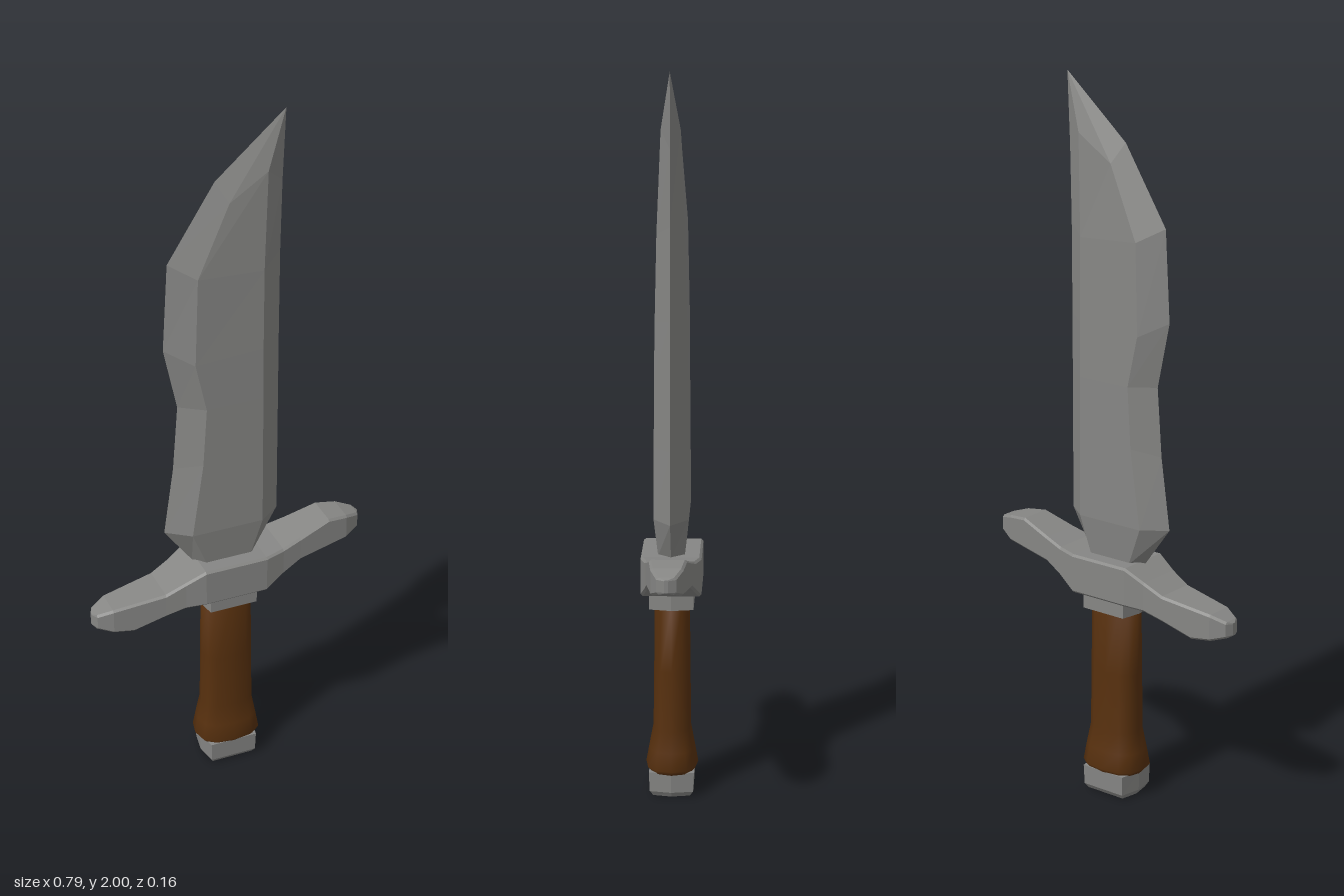
import * as THREE from 'three';

const steel = new THREE.MeshStandardMaterial({ color: 0x868684 });
steel.name = 'steel';
const wood = new THREE.MeshStandardMaterial({ color: 0x57300e });
wood.name = 'brown grip';

// Skins a stack of closed rings (counter-clockwise seen from the far end) and caps both ends.
function loft(rings, smooth = false) {
  const n = rings[0].length;
  const pts = rings.flat().map((p) => new THREE.Vector3(...p));
  const index = [];
  const tri = (a, b, c) => {
    if (new THREE.Triangle(pts[a], pts[b], pts[c]).getArea() > 1e-7) index.push(a, b, c);
  };
  for (let i = 0; i < rings.length - 1; i++) {
    for (let j = 0; j < n; j++) {
      const a = i * n + j, b = i * n + ((j + 1) % n);
      tri(a, b, b + n);
      tri(a, b + n, a + n);
    }
  }
  const last = (rings.length - 1) * n;
  for (let j = 1; j < n - 1; j++) {
    tri(0, j + 1, j);
    tri(last, last + j, last + j + 1);
  }
  let geo = new THREE.BufferGeometry().setFromPoints(pts);
  geo.setIndex(index);
  if (!smooth) geo = geo.toNonIndexed();
  geo.computeVertexNormals();
  return geo;
}

// Flattened hexagon with pointed sides
const hexRing = (y, x, z) => [
  [x, y, 0], [x * 0.86, y, -z], [-x * 0.86, y, -z],
  [-x, y, 0], [-x * 0.86, y, z], [x * 0.86, y, z],
];

// Rounded grip section
function gripRing(y, x, z) {
  const ring = [];
  for (let i = 0; i < 12; i++) {
    const a = (i / 12) * Math.PI * 2, c = Math.cos(a), s = Math.sin(a);
    const round = (v) => Math.sign(v) * Math.pow(Math.abs(v), 0.75);
    ring.push([x * round(c), y, -z * round(s)]);
  }
  return ring;
}

// Blade section: cutting edge, two ridges and spine, each [x, y], with half thickness
const bladeRing = ([edge, ridgeA, ridgeB, spine, z]) => [
  [...spine, 0], [...ridgeB, -z], [...ridgeA, -z],
  [...edge, 0], [...ridgeA, z], [...ridgeB, z],
];

// Guard section at x with chamfered corners
function guardRing([x, low, high, z]) {
  const c = Math.min(0.006, z * 0.4);
  return [
    [x, high, -z + c], [x, high, z - c], [x, high - c, z], [x, low + c, z],
    [x, low, z - c], [x, low, -z + c], [x, low + c, -z], [x, high - c, -z],
  ];
}

export function createModel() {
  const group = new THREE.Group();
  const add = (name, geo, mat) => {
    const mesh = new THREE.Mesh(geo, mat);
    mesh.name = name;
    group.add(mesh);
  };

  // Blade with recurved edge and slanted point
  const tip = [0.165, 2.0];
  add('blade', loft([
    [[-0.10, 0.69], [-0.07, 0.69], [0.06, 0.69], [0.09, 0.69], 0.036],
    [[-0.18, 0.80], [-0.115, 0.80], [0.09, 0.80], [0.152, 0.80], 0.047],
    [[-0.152, 1.00], [-0.083, 1.02], [0.09, 1.00], [0.152, 1.00], 0.046],
    [[-0.138, 1.19], [-0.072, 1.19], [0.09, 1.19], [0.152, 1.19], 0.045],
    [[-0.176, 1.37], [-0.102, 1.33], [0.09, 1.34], [0.152, 1.35], 0.043],
    [[-0.162, 1.62], [-0.092, 1.58], [0.093, 1.57], [0.153, 1.60], 0.038],
    [[-0.03, 1.83], [0.0, 1.775], [0.107, 1.845], [0.157, 1.80], 0.026],
    [tip, tip, tip, tip, 0],
  ].map(bladeRing)), steel);

  // S-shaped guard: one arm, turned half round for the other
  const arm = [
    [0.09, 0.585, 0.695, 0.082], [0.145, 0.617, 0.700, 0.069],
    [0.20, 0.645, 0.717, 0.061], [0.29, 0.659, 0.748, 0.050],
    [0.347, 0.668, 0.742, 0.043], [0.388, 0.684, 0.730, 0.026],
    [0.397, 0.690, 0.725, 0.005],
  ];
  const otherArm = arm.map(([x, low, high, z]) => [-x, 1.28 - high, 1.28 - low, z]).reverse();
  add('guard', loft([...otherArm, ...arm].map(guardRing)), steel);

  // Collar under the guard
  add('collar', loft([hexRing(0.54, 0.08, 0.06), hexRing(0.60, 0.08, 0.06)]), steel);

  // Grip flaring towards the pommel
  add('grip', loft([
    gripRing(0.065, 0.08, 0.06), gripRing(0.08, 0.094, 0.072),
    gripRing(0.13, 0.086, 0.063), gripRing(0.19, 0.075, 0.052),
    gripRing(0.36, 0.073, 0.050), gripRing(0.55, 0.071, 0.048),
  ], true), wood);

  // Pommel cap
  add('pommel', loft([
    hexRing(0, 0.07, 0.05), hexRing(0.014, 0.078, 0.06), hexRing(0.07, 0.08, 0.062),
  ]), steel);

  return group;
}
